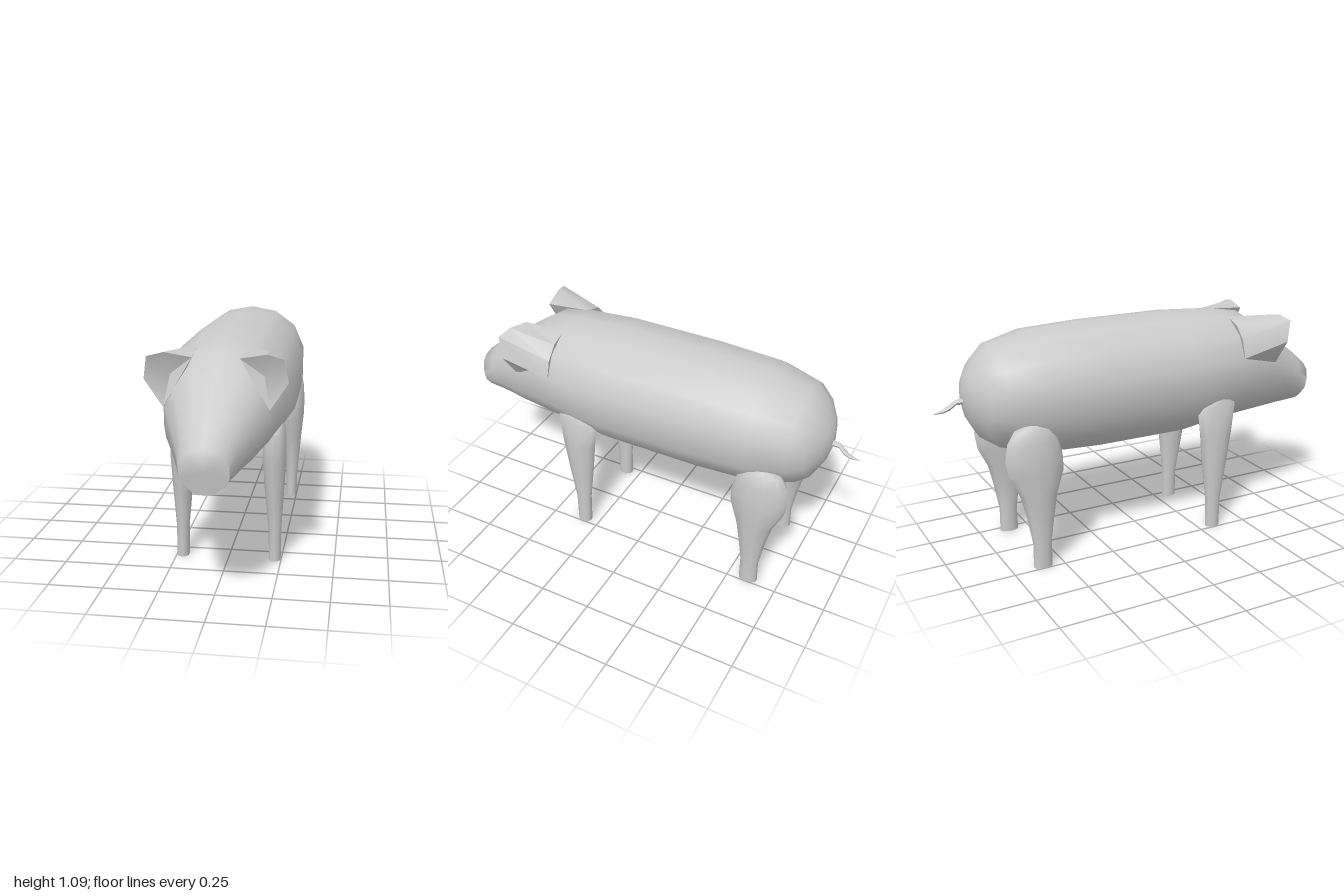
import * as THREE from 'three';
import { toCreasedNormals } from 'three/addons/utils/BufferGeometryUtils.js';

const material = new THREE.MeshStandardMaterial({ color: 0xcccccc });

// Skin over cross-section rings (counter-clockwise about the direction of travel), with both ends closed
function loft(name, rings, crease = 1.0, endCentre = null) {
  const n = rings[0].length;
  const points = rings.flat();
  const index = [];
  for (let i = 0; i < rings.length - 1; i++) {
    for (let j = 0; j < n; j++) {
      const a = i * n + j, b = i * n + (j + 1) % n;
      index.push(a, b, b + n, a, b + n, a + n);
    }
  }
  const cap = (ring, first, flip, centre) => {
    const c = points.length;
    points.push(centre || ring.reduce((s, p) => s.add(p), new THREE.Vector3()).divideScalar(n));
    for (let j = 0; j < n; j++) {
      const a = first + j, b = first + (j + 1) % n;
      index.push(c, flip ? b : a, flip ? a : b);
    }
  };
  cap(rings[0], 0, true);
  cap(rings[rings.length - 1], (rings.length - 1) * n, false, endCentre);
  const geometry = new THREE.BufferGeometry().setFromPoints(points);
  geometry.setIndex(index);
  const mesh = new THREE.Mesh(toCreasedNormals(geometry, crease), material);
  mesh.name = name;
  return mesh;
}

// Body and head: half outline (width, height fractions from belly to back), mirrored into a full ring
const half = [[0, 0], [0.41, 0.03], [0.72, 0.17], [1, 0.37], [1, 0.63], [0.82, 0.83], [0.45, 0.96], [0, 1]];
const outline = [...half, ...half.slice(1, -1).reverse().map(([x, y]) => [-x, y])];

function makeBody() {
  // z, half width, bottom, top, forward lean of the top
  const stations = [
    [-0.868, 0.03, 0.76, 0.83, 0],
    [-0.85, 0.10, 0.69, 0.89, 0],
    [-0.80, 0.185, 0.60, 0.965, 0],
    [-0.735, 0.23, 0.555, 1.025, 0],
    [-0.55, 0.277, 0.50, 1.073, 0],
    [-0.25, 0.29, 0.485, 1.085, 0],
    [0.20, 0.293, 0.485, 1.085, 0],
    [0.45, 0.272, 0.518, 1.068, 0],
    [0.58, 0.245, 0.523, 1.045, 0],
    [0.70, 0.21, 0.528, 0.965, 0],
    [0.80, 0.165, 0.53, 0.885, 0.01],
    [0.90, 0.125, 0.531, 0.805, 0.02],
    [0.96, 0.102, 0.532, 0.735, 0.04],
  ];
  return loft('body', stations.map(([z, w, bottom, top, lean]) => outline.map(([x, y]) =>
    new THREE.Vector3(x * w, bottom + (top - bottom) * y, z + lean * y))), 1.2);
}

// Legs: stacked ovals of y, centre x, centre z, half width, half depth
function makeLeg(name, side, stations) {
  return loft(name, stations.map(([y, x, z, rx, rz]) => Array.from({ length: 10 }, (_, j) => {
    const t = (j / 10) * Math.PI * 2;
    return new THREE.Vector3(side * x + rx * Math.sin(t), y, z + rz * Math.cos(t));
  })));
}

const frontLeg = [
  [0.00, 0.220, 0.33, 0.029, 0.037],
  [0.15, 0.219, 0.33, 0.030, 0.040],
  [0.33, 0.216, 0.335, 0.044, 0.066],
  [0.50, 0.214, 0.34, 0.055, 0.087],
  [0.64, 0.215, 0.34, 0.050, 0.108],
  [0.68, 0.215, 0.34, 0.037, 0.055],
];
const hindLeg = [
  [0.00, 0.222, -0.600, 0.029, 0.047],
  [0.12, 0.222, -0.600, 0.031, 0.046],
  [0.25, 0.221, -0.602, 0.043, 0.067],
  [0.36, 0.217, -0.605, 0.056, 0.090],
  [0.46, 0.213, -0.612, 0.070, 0.132],
  [0.54, 0.211, -0.620, 0.074, 0.137],
  [0.62, 0.212, -0.625, 0.068, 0.120],
  [0.675, 0.220, -0.630, 0.050, 0.085],
  [0.70, 0.222, -0.630, 0.030, 0.030],
];

// Ears: wedges growing out of the neck to a flared, hollow front
function makeEar(name, side) {
  const place = (list) => {
    const ring = list.map(([x, y, z]) => new THREE.Vector3(side * x, y, z));
    return side > 0 ? ring : ring.reverse();
  };
  const back = [[0.21, 0.84, 0.50], [0.272, 0.87, 0.46], [0.255, 0.96, 0.455], [0.20, 1.02, 0.455], [0.11, 1.045, 0.46]];
  const front = [[0.225, 0.815, 0.68], [0.304, 0.935, 0.685], [0.285, 1.036, 0.71], [0.215, 1.052, 0.695], [0.10, 1.03, 0.68]];
  return loft(name, [place(back), place(front)], 0.7, new THREE.Vector3(side * 0.20, 0.95, 0.645));
}

// Tail: thin tapering curl, skinned from the tip back to the rump
function makeTail() {
  const stations = [
    [0.010, 0.735, -1.0, 0.002],
    [0.013, 0.742, -0.955, 0.009],
    [0.008, 0.757, -0.925, 0.013],
    [0.002, 0.778, -0.90, 0.012],
    [0, 0.782, -0.84, 0.016],
  ];
  return loft('tail', stations.map(([x, y, z, r]) => Array.from({ length: 6 }, (_, j) => {
    const t = (j / 6) * Math.PI * 2;
    return new THREE.Vector3(x + r * Math.cos(t), y + r * Math.sin(t), z);
  })));
}

export function createModel() {
  const model = new THREE.Group();
  model.name = 'pig';
  model.add(makeBody(), makeTail());
  for (const [label, side] of [['left', 1], ['right', -1]]) {
    model.add(
      makeEar(label + 'Ear', side),
      makeLeg(label + 'FrontLeg', side, frontLeg),
      makeLeg(label + 'HindLeg', side, hindLeg),
    );
  }
  return model;
}
